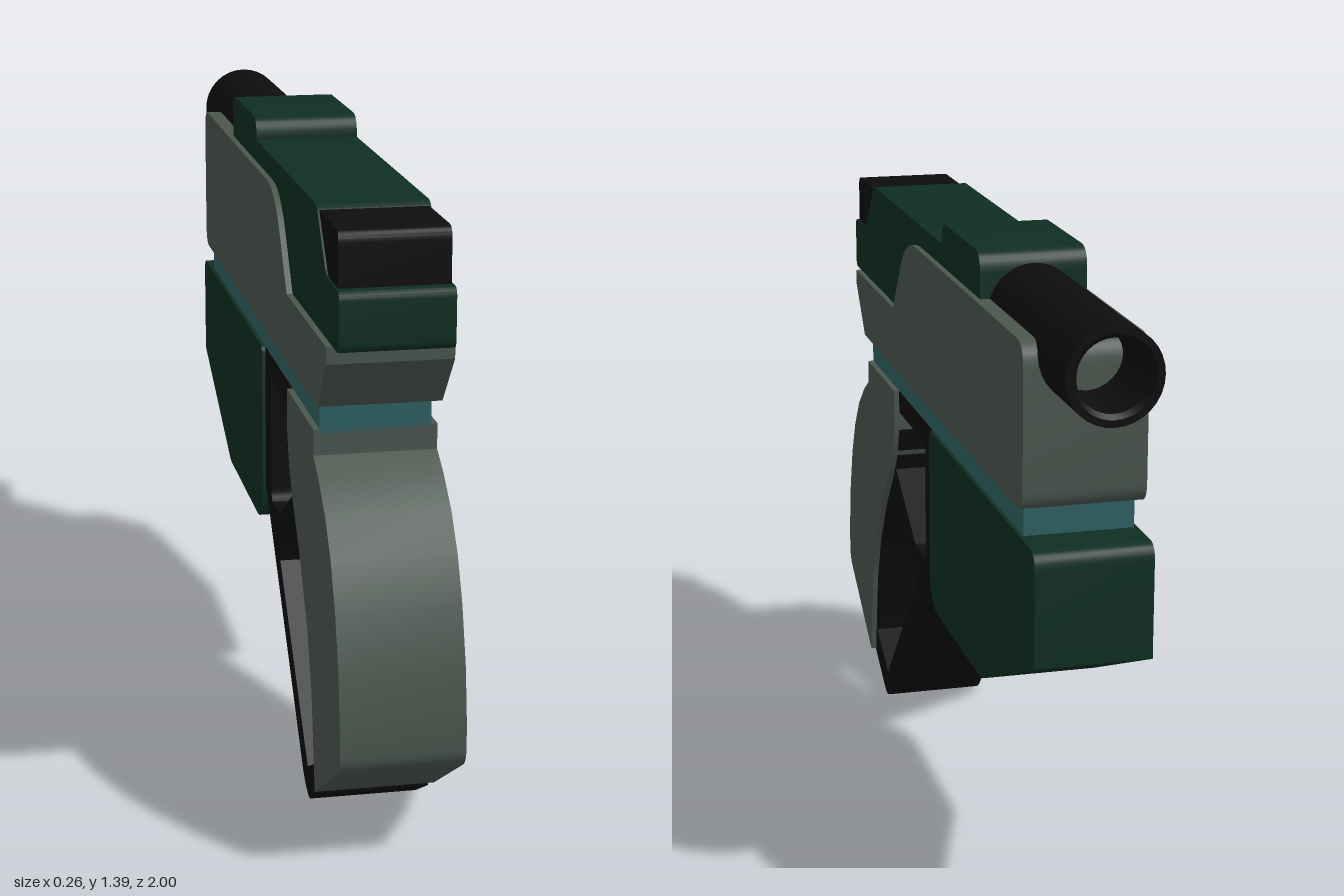
import * as THREE from 'three';
import { toCreasedNormals } from 'three/addons/utils/BufferGeometryUtils.js';

const paint = (color) => new THREE.MeshStandardMaterial({ color });

// Closed outline through [z, y, cornerRadius] points
function outline(points, path = new THREE.Shape()) {
  const n = points.length;
  const v = points.map(([z, y]) => new THREE.Vector2(z, y));
  points.forEach(([, , r = 0], i) => {
    const p = v[i];
    const toward = (q) => p.clone().add(q.clone().sub(p).setLength(r));
    const a = r ? toward(v[(i + n - 1) % n]) : p;
    if (i === 0) path.moveTo(a.x, a.y);
    else path.lineTo(a.x, a.y);
    if (r) {
      const b = toward(v[(i + 1) % n]);
      path.quadraticCurveTo(p.x, p.y, b.x, b.y);
    }
  });
  path.closePath();
  return path;
}

// Side profile extruded across x, centred on x = 0
function slab(name, material, halfWidth, points, holes = []) {
  const shape = outline(points);
  shape.holes = holes.map((h) => outline(h, new THREE.Path()));
  const geo = new THREE.ExtrudeGeometry(shape, {
    depth: halfWidth * 2, bevelEnabled: false, curveSegments: 6,
  });
  geo.translate(0, 0, -halfWidth).rotateY(-Math.PI / 2);
  const mesh = new THREE.Mesh(toCreasedNormals(geo, 0.5), material);
  mesh.name = name;
  return mesh;
}

export function createModel() {
  const model = new THREE.Group();
  model.name = 'pistol';
  const grey = paint(0x4a564e);
  const green = paint(0x0f2e22);
  const teal = paint(0x2f6062);
  const black = paint(0x0d0d0d);

  // Main body
  model.add(slab('receiver', grey, 0.13, [
    [0.85, 1.09], [0.4, 1.09], [0.25, 1.29, 0.1], [-0.81, 1.29, 0.05],
    [-0.81, 0.94, 0.045], [0.75, 0.94], [0.85, 1.055],
  ]));
  model.add(slab('rail', teal, 0.117, [
    [0.71, 0.87], [0.71, 0.95], [-0.77, 0.95], [-0.77, 0.87],
  ]));

  // Top cover with raised sight block
  model.add(slab('topCover', green, 0.117, [
    [0.91, 1.09, 0.02], [0.91, 1.215, 0.02], [0.78, 1.215, 0.02], [0.675, 1.34, 0.02],
    [-0.065, 1.34], [-0.065, 1.39, 0.045], [-0.415, 1.39, 0.045], [-0.415, 1.09],
  ]));
  model.add(slab('rearBlock', black, 0.113, [
    [0.88, 1.18], [0.88, 1.33, 0.025], [0.6, 1.33], [0.6, 1.18],
  ]));

  // Barrel with open bore
  const bore = [[0, 0.3], [0.075, 0.3], [0.075, 0.01], [0.085, 0], [0.1, 0], [0.1, 0.7], [0, 0.7]]
    .map(([r, d]) => new THREE.Vector2(r, d));
  const barrelGeo = new THREE.LatheGeometry(bore, 32).rotateX(Math.PI / 2);
  const barrel = new THREE.Mesh(toCreasedNormals(barrelGeo.toNonIndexed(), 0.5), black.clone());
  barrel.material.side = THREE.DoubleSide;
  barrel.position.set(0, 1.262, -1);
  barrel.name = 'barrel';
  model.add(barrel);

  // Housing under the barrel
  model.add(slab('lowerHousing', green, 0.125, [
    [0.04, 0.88, 0.02], [-0.885, 0.88, 0.035], [-0.885, 0.635],
    [-0.455, 0.45, 0.02], [0.04, 0.45, 0.08],
  ]));

  // Grip
  model.add(slab('grip', grey, 0.13, [
    [0.71, 0.88], [0.4, 0.88], [0.4, 0.79], [0.425, 0.71], [0.47, 0.645],
    [0.56, 0.54], [0.64, 0.42], [0.69, 0.29], [0.727, 0.08],
    [1, 0.25, 0.03], [1, 0.33], [0.982, 0.45], [0.945, 0.57], [0.9, 0.66],
    [0.84, 0.735], [0.77, 0.79], [0.71, 0.825],
  ]));

  // Trigger guard and hand guard in one frame
  model.add(slab('guardFrame', black, 0.117, [
    [0.5, 0.88], [0.04, 0.88], [0.04, 0.545], [0.535, 0.02, 0.03], [0.595, 0, 0.02],
    [0.727, 0.075], [0.76, 0.25], [0.7, 0.5], [0.5, 0.72],
  ], [
    [[0.4, 0.825], [0.115, 0.825], [0.115, 0.53, 0.03], [0.22, 0.53, 0.02], [0.445, 0.665], [0.405, 0.76]],
    [[0.46, 0.635], [0.26, 0.495, 0.02], [0.232, 0.425], [0.575, 0.07], [0.71, 0.14],
      [0.705, 0.175], [0.68, 0.18], [0.645, 0.34], [0.61, 0.43], [0.56, 0.515]],
  ]));
  model.add(slab('trigger', black, 0.06, [
    [0.22, 0.84], [0.1, 0.84], [0.1, 0.78], [0.185, 0.72], [0.205, 0.665],
    [0.185, 0.61], [0.235, 0.61], [0.265, 0.665], [0.22, 0.74],
  ]));

  return model;
}
